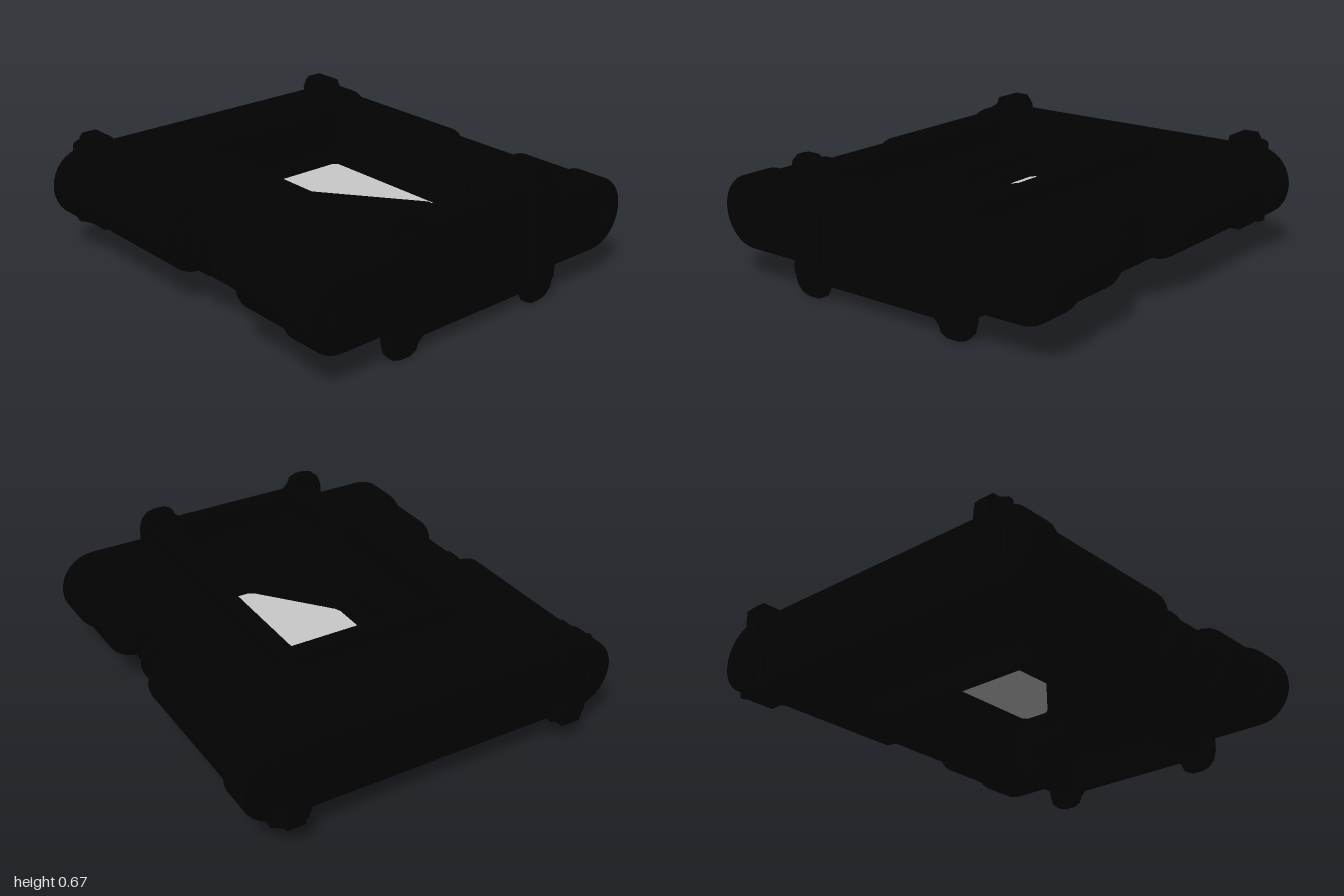
import * as THREE from 'three';

const MID = 0.335; // height of the horizontal symmetry plane

export function createModel() {
  const root = new THREE.Group();
  root.name = 'armouredCase';
  const black = new THREE.MeshStandardMaterial({ color: 0x020202 });
  black.name = 'black';
  const grey = new THREE.MeshStandardMaterial({ color: 0xcacaca });
  grey.name = 'paleGrey';

  const add = (name, geo, mat = black) => {
    const m = new THREE.Mesh(geo, mat);
    m.name = name;
    root.add(m);
    return m;
  };
  const box = (name, x0, x1, y0, y1, z0, z1) =>
    add(name, new THREE.BoxGeometry(x1 - x0, y1 - y0, z1 - z0)
      .translate((x0 + x1) / 2, (y0 + y1) / 2, (z0 + z1) / 2));
  const poly = (pts) => new THREE.Shape(pts.map((p) => new THREE.Vector2(p[0], p[1])));
  // extrusion from z = 0 to depth, with an optional bevel inside that depth
  const extrude = (shape, depth, bevel = 0) =>
    new THREE.ExtrudeGeometry(shape, {
      depth: depth - 2 * bevel, bevelEnabled: bevel > 0, bevelSize: bevel,
      bevelThickness: bevel, bevelOffset: -bevel, bevelSegments: 2, curveSegments: 8,
    }).translate(0, 0, bevel);

  // plan outline (x, z) extruded between two heights
  const slab = (name, pts, y0, y1, { holes = [], mat = black, bevel = 0 } = {}) => {
    const s = poly(pts);
    s.holes = holes.map(poly);
    return add(name, extrude(s, y1 - y0, bevel).rotateX(Math.PI / 2).translate(0, y1, 0), mat);
  };
  // section outline (x, y) extruded between two z positions
  const section = (name, shape, z0, z1, bevel = 0) =>
    add(name, extrude(shape, z1 - z0, bevel).translate(0, 0, z0));

  // narrow slot running along the rounded side
  const slot = (s) => {
    const pts = [[s * 0.82, 0.285], [s * 0.83, 0.305], [s * 0.835, 0.335],
      [s * 0.83, 0.365], [s * 0.82, 0.385]];
    return poly(s > 0 ? pts : pts.reverse());
  };
  const fullSection = (w, h) => {
    const s = new THREE.Shape();
    s.moveTo(-w + h, MID - h);
    s.lineTo(w - h, MID - h);
    s.absarc(w - h, MID, h, -Math.PI / 2, Math.PI / 2, false);
    s.lineTo(-w + h, MID + h);
    s.absarc(-w + h, MID, h, Math.PI / 2, Math.PI * 1.5, false);
    s.holes = [slot(1), slot(-1)];
    return s;
  };
  // rounded half section on one side, starting at the inner x
  const podSection = (side, inner, w, h) => {
    const s = new THREE.Shape();
    s.moveTo(side * inner, MID - h);
    s.lineTo(side * (w - h), MID - h);
    if (side > 0) s.absarc(w - h, MID, h, -Math.PI / 2, Math.PI / 2, false);
    else s.absarc(h - w, MID, h, Math.PI * 1.5, Math.PI / 2, true);
    s.lineTo(side * inner, MID + h);
    s.holes = [slot(side)];
    return s;
  };

  // rear body and end cap
  section('rearBody', fullSection(0.94, 0.163), -0.79, -0.42);
  section('rearCap', fullSection(0.962, 0.178), -0.948, -0.775, 0.012);

  for (const s of [1, -1]) {
    const sideBox = (name, x0, x1, ...rest) =>
      s > 0 ? box(name, x0, x1, ...rest) : box(name, -x1, -x0, ...rest);

    // side pods
    section('rearPod', podSection(s, 0.45, 0.94, 0.163), -0.42, 0);
    section('frontPod', podSection(s, 0.43, 0.94, 0.165), 0.49, 0.8, 0.01);
    section('frontPodNeck', podSection(s, 0.43, 0.905, 0.15), 0.79, 0.83);
    section('frontCap', podSection(s, 0.36, 0.962, 0.178), 0.812, 1, 0.014);
    for (const z of [0.035, 0.152]) section('coolingFin', podSection(s, 0.7, 0.9, 0.13), z - 0.017, z + 0.017);

    // chamfered waist between the pods
    section('waistCore', poly([[0.45, 0.177], [0.775, 0.177], [0.82, 0.222],
      [0.82, 0.448], [0.775, 0.493], [0.45, 0.493]].map(([x, y]) => [s * x, y])), -0.02, 0.52);

    // collar tapering towards the waist
    const collar = extrude(podSection(s, 0.6, 0.905, 0.148), 0.16).translate(0, 0, 0.34);
    const p = collar.attributes.position;
    for (let i = 0; i < p.count; i++) {
      if (p.getZ(i) > 0.4) continue;
      const dy = p.getY(i) - MID;
      if (Math.abs(dy) > 0.055) p.setY(i, MID + Math.sign(dy) * Math.max(0.055, Math.abs(dy) * 0.43));
      if (Math.abs(p.getX(i)) > 0.85) p.setX(i, s * (0.845 + (Math.abs(p.getX(i)) - 0.85) * 0.3));
    }
    collar.computeVertexNormals();
    add('taperedCollar', collar);

    // frame pads and front corner bands
    sideBox('railPad', 0.365, 0.44, 0.08, 0.592, 0.635, 0.855);
    sideBox('frontBand', 0.345, 0.51, 0.1, 0.575, 0.94, 1);

    // strap loops over the rear edge
    const strap = poly([[0.72, 0.145], [0.72, 0.525], [0.79, 0.54], [0.81, 0.574], [0.965, 0.574],
      [0.998, 0.54], [0.998, 0.13], [0.965, 0.1], [0.81, 0.1], [0.79, 0.13]]);
    add('claspStrap', extrude(strap, 0.075).rotateY(Math.PI / 2).translate(s * 0.728 - 0.0375, 0, 0));
    sideBox('claspBand', 0.66, 0.8, 0.13, 0.54, -0.968, -0.9);
    const wing = [[0.635, -0.945], [0.67, -0.976], [0.79, -0.976], [0.835, -0.945],
      [0.835, -0.92], [0.79, -0.89], [0.67, -0.89], [0.635, -0.92]].map(([x, z]) => [s * x, z]);
    slab('claspWingTop', wing, 0.46, 0.545, { bevel: 0.015 });
    slab('claspWingBottom', wing, 0.125, 0.21, { bevel: 0.015 });
  }

  // central frame with an open middle
  slab('centralFrame',
    [[-0.44, -0.46], [0.44, -0.46], [0.485, -0.415], [0.485, 0.95], [-0.485, 0.95], [-0.485, -0.415]],
    0.09, 0.58,
    { holes: [[[-0.42, -0.39], [0.41, -0.39], [0.41, 0.53], [0.35, 0.6], [0.35, 0.93],
      [-0.35, 0.93], [-0.35, 0.6], [-0.42, 0.53]]] });
  box('rearRim', -0.43, 0.43, 0.08, 0.59, -0.455, -0.4);

  // window panel, bezel and pane
  const paneOutline = [[-0.14, -0.28], [-0.12, -0.3], [0.29, -0.3], [0.31, -0.28], [0.31, 0.46],
    [0.29, 0.485], [0.17, 0.485], [0.14, 0.465], [-0.13, 0.13], [-0.14, 0.1]];
  slab('windowPanel', [[-0.42, -0.39], [0.398, -0.39], [0.398, 0.545], [0.35, 0.6], [-0.3, 0.6], [-0.42, 0.53]],
    0.3, 0.37, { holes: [paneOutline] });
  slab('windowBezel',
    [[-0.2, -0.34], [-0.18, -0.36], [0.34, -0.36], [0.36, -0.34], [0.36, 0.52], [0.33, 0.55],
      [0.15, 0.55], [0.11, 0.53], [-0.18, 0.16], [-0.2, 0.11]],
    0.285, 0.385, { holes: [paneOutline] });
  slab('windowPane', paneOutline, 0.331, 0.339, { mat: grey });

  // stepped decks beside and in front of the window
  slab('sideDeck', [[-0.42, -0.39], [-0.22, -0.39], [-0.22, 0.12], [0.11, 0.57], [0.11, 0.945],
    [-0.35, 0.945], [-0.35, 0.6], [-0.42, 0.53]], 0.22, 0.45);
  slab('frontDeck', [[0.11, 0.58], [0.35, 0.6], [0.35, 0.945], [0.11, 0.945]], 0.25, 0.42);

  // front bumper plate with four rounded lugs
  const top = [[0.525, 0.58], [0.51, 0.63], [0.48, 0.66], [0.44, 0.671], [0.385, 0.671],
    [0.35, 0.655], [0.335, 0.62], [0.31, 0.597]];
  const half = [...top, ...top.map(([x, y]) => [-x, y]).reverse()];
  const plate = poly([...half, ...half.map(([x, y]) => [-x, 2 * MID - y])]);
  section('bumperPlate', plate, 0.94, 0.985, 0.008);

  return root;
}
